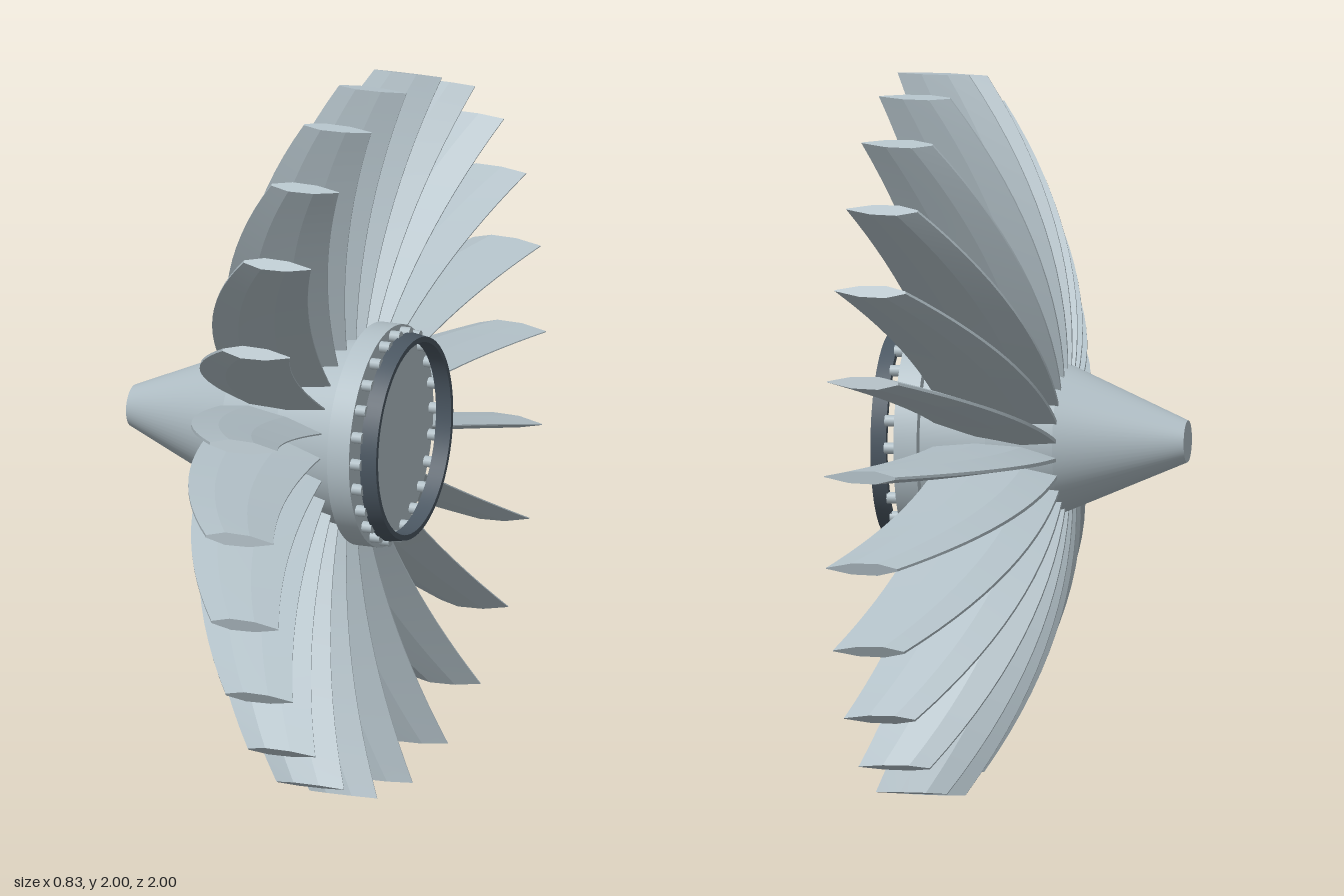
import * as THREE from 'three';

const BLADES = 24;
const STUDS = 24;

// Lathe around the x axis from [x, radius] points; every corner is doubled to stay sharp
function turned(points) {
  const pts = points.flatMap(([x, r]) => [new THREE.Vector2(r, x), new THREE.Vector2(r, x)]);
  return new THREE.LatheGeometry(pts, 64).rotateZ(-Math.PI / 2);
}

// Blade pointing up: a faceted section swept outwards with curved leading and trailing edges
function bladeGeometry() {
  const ROWS = 14, R0 = 0.18, R1 = 1;
  const half = [[0, 0.2], [0.28, 1], [0.65, 0.9], [1, 0.08]];
  const section = [...half, ...half.map(([c, h]) => [c, -h]).reverse()];
  const point = (row, [c, h]) => {
    const u = row / ROWS, r = R0 + (R1 - R0) * u;
    const lead = -0.09 + 0.29 * u * u;
    const trail = 0.24 + 0.16 * u * u;
    const thick = 0.027 - 0.009 * u;
    const shift = -0.017 + 0.039 * u;
    const twist = (c - 0.5) * 0.035 * (1 - u);
    return [lead + (trail - lead) * c, r, shift + twist + thick * h];
  };
  const pos = [], idx = [];
  // One strip per facet keeps the edges along the blade crisp
  section.forEach((a, i) => {
    const b = section[(i + 1) % section.length];
    const base = pos.length / 3;
    for (let k = 0; k <= ROWS; k++) {
      pos.push(...point(k, a), ...point(k, b));
      if (k < ROWS) {
        const p = base + 2 * k;
        idx.push(p, p + 1, p + 2, p + 1, p + 3, p + 2);
      }
    }
  });
  // Flat ends at root and tip
  for (const row of [0, ROWS]) {
    const base = pos.length / 3;
    section.forEach((s) => pos.push(...point(row, s)));
    for (let i = 1; i < section.length - 1; i++) {
      if (row) idx.push(base, base + i, base + i + 1);
      else idx.push(base, base + i + 1, base + i);
    }
  }
  const geo = new THREE.BufferGeometry();
  geo.setAttribute('position', new THREE.Float32BufferAttribute(pos, 3));
  geo.setIndex(idx);
  geo.computeVertexNormals();
  return geo;
}

export function createModel() {
  const model = new THREE.Group();
  const rotor = new THREE.Group();
  rotor.name = 'rotor';
  rotor.position.y = 1;
  model.add(rotor);

  const metal = new THREE.MeshStandardMaterial({ color: 0xb0bec5 });
  metal.name = 'light metal';
  metal.side = THREE.DoubleSide;
  const dark = new THREE.MeshStandardMaterial({ color: 0x4a5661 });
  dark.name = 'dark metal';

  const add = (name, geo, mat, parent = rotor) => {
    const mesh = new THREE.Mesh(geo, mat);
    mesh.name = name;
    parent.add(mesh);
    return mesh;
  };

  // Nose cone and the hub carrying the blades
  add('noseCone', turned([[-0.42, 0], [-0.42, 0.058], [-0.08, 0.205]]), metal);
  add('hub', turned([[-0.08, 0.205], [0.1, 0.25], [0.28, 0.27]]), metal);

  // Rear flange with a closed face
  add('rearFlange', turned([[0.28, 0.26], [0.28, 0.31], [0.345, 0.31], [0.345, 0]]), metal);

  // Dark rim held clear of the flange by small studs
  add('rearRim', turned([[0.37, 0.267], [0.37, 0.29], [0.415, 0.283], [0.415, 0.268], [0.37, 0.267]]), dark);
  const studs = new THREE.Group();
  studs.name = 'studs';
  rotor.add(studs);
  const studGeo = new THREE.CylinderGeometry(0.016, 0.016, 0.032, 12).rotateZ(-Math.PI / 2);
  for (let i = 0; i < STUDS; i++) {
    const a = (i / STUDS) * Math.PI * 2;
    add('stud', studGeo, metal, studs).position.set(0.358, 0.288 * Math.cos(a), 0.288 * Math.sin(a));
  }

  // Ring of blades
  const blades = new THREE.Group();
  blades.name = 'blades';
  rotor.add(blades);
  const bladeGeo = bladeGeometry();
  for (let i = 0; i < BLADES; i++) {
    add('blade', bladeGeo, metal, blades).rotation.x = (i / BLADES) * Math.PI * 2;
  }
  return model;
}
